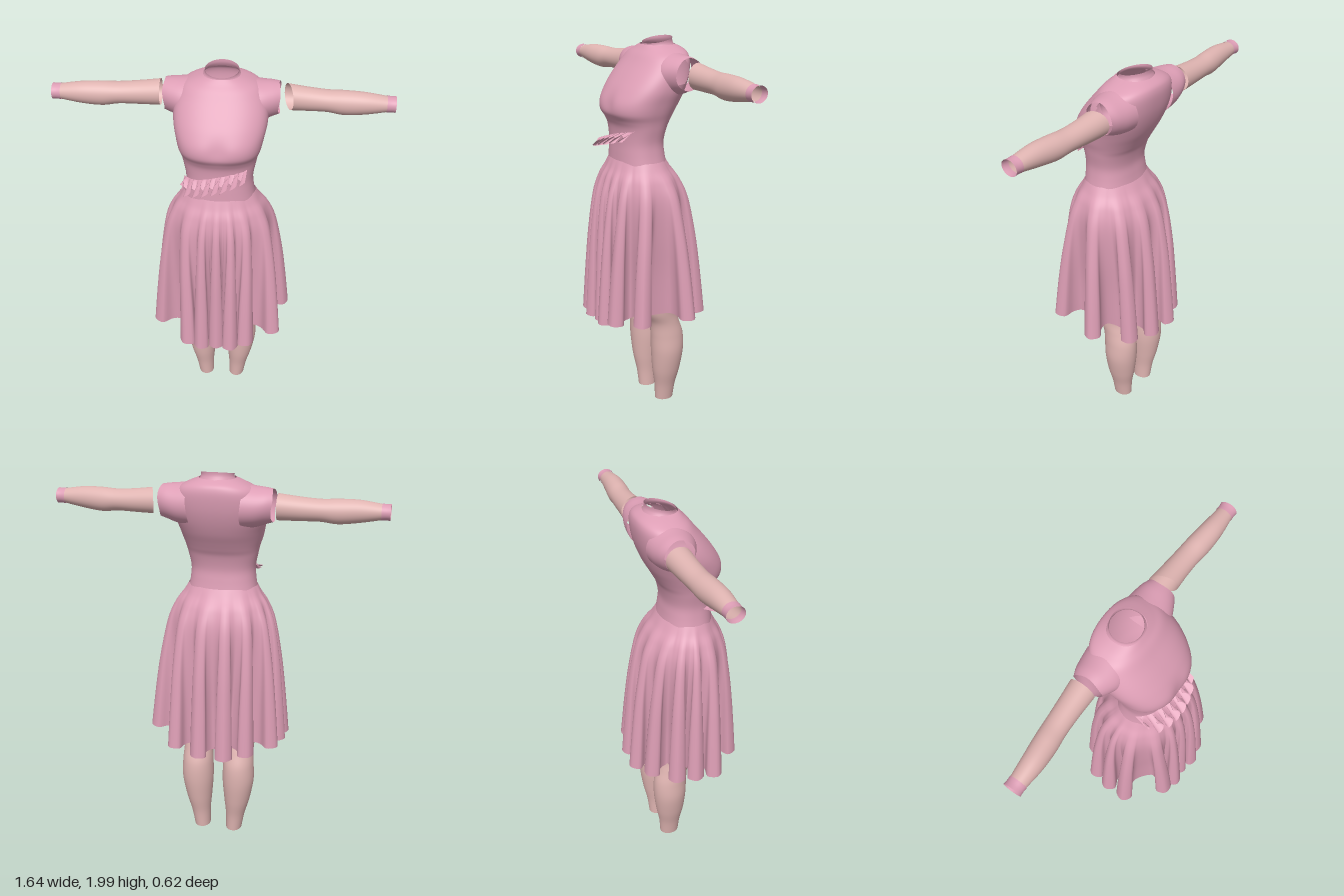
import * as THREE from 'three';

const pink = new THREE.MeshStandardMaterial({ color: 0xdd9eb5, side: THREE.DoubleSide });
pink.name = 'dressPink';
const skin = new THREE.MeshStandardMaterial({ color: 0xdfb4b1, side: THREE.DoubleSide });
skin.name = 'skin';

const V = (x, y, z) => new THREE.Vector3(x, y, z);

// Smooth surface through rows of points; keep(p) may leave holes.
function loft(name, material, rows, closed = true, keep = () => true) {
  const n = rows[0].length, pos = [], idx = [];
  rows.forEach(r => r.forEach(p => pos.push(p.x, p.y, p.z)));
  for (let i = 0; i < rows.length - 1; i++) {
    for (let j = 0; j < (closed ? n : n - 1); j++) {
      const k = (j + 1) % n;
      if (!keep(rows[i][j])) continue;
      const a = i * n + j, b = i * n + k, c = a + n, d = b + n;
      idx.push(a, c, b, b, c, d);
    }
  }
  const g = new THREE.BufferGeometry();
  g.setAttribute('position', new THREE.Float32BufferAttribute(pos, 3));
  g.setIndex(idx);
  g.computeVertexNormals();
  const m = new THREE.Mesh(g, material);
  m.name = name;
  return m;
}

// Catmull-Rom resampling of a table of section parameters.
function resample(table, count) {
  const out = [], last = table.length - 1;
  for (let s = 0; s <= count; s++) {
    const f = s / count * last, i = Math.min(Math.floor(f), last - 1), t = f - i;
    const p = q => table[Math.max(0, Math.min(last, q))];
    out.push(table[0].map((_, c) => {
      const [a, b, d, e] = [p(i - 1)[c], p(i)[c], p(i + 1)[c], p(i + 2)[c]];
      return b + 0.5 * t * (d - a + t * (2 * a - 5 * b + 4 * d - e + t * (3 * (b - d) + e - a)));
    }));
  }
  return out;
}

const ring = (n, fn) => Array.from({ length: n }, (_, j) => fn(j / n * Math.PI * 2));
const sup = (v, e) => Math.sign(v) * Math.abs(v) ** e;

function makeBodice() {
  // y, half width, front z, back z
  const table = [
    [1.38, 0.178, 0.155, -0.10], [1.44, 0.168, 0.152, -0.09], [1.50, 0.165, 0.15, -0.085],
    [1.57, 0.178, 0.155, -0.10], [1.61, 0.187, 0.172, -0.12], [1.65, 0.2, 0.197, -0.142],
    [1.70, 0.212, 0.194, -0.17], [1.76, 0.225, 0.16, -0.195], [1.82, 0.225, 0.115, -0.212],
    [1.88, 0.21, 0.065, -0.22], [1.92, 0.185, 0.033, -0.218], [1.945, 0.14, 0.008, -0.205],
    [1.965, 0.088, -0.01, -0.17]];
  const rows = resample(table, 72).map(([y, w, f, b]) => ring(96, a => {
    const x = w * sup(Math.cos(a), 0.85);
    let z = (f + b) / 2 + (f - b) / 2 * sup(Math.sin(a), 0.85);
    // shallow hollow between the breasts
    if (Math.sin(a) > 0) z -= 0.012 * Math.exp(-((x / 0.05) ** 2) - ((y - 1.69) / 0.05) ** 2);
    return V(x, y, z);
  }));
  // leave the arm holes open
  return loft('bodice', pink, rows, true,
    p => Math.abs(p.x) < 0.12 || Math.hypot(p.y - 1.845, p.z + 0.1) > 0.062);
}

function makeSleeve(s) {
  // x, centre y, half height, centre z, half depth
  const table = [[0.13, 1.835, 0.105, -0.095, 0.115], [0.19, 1.835, 0.097, -0.095, 0.108],
    [0.24, 1.842, 0.086, -0.1, 0.092], [0.275, 1.845, 0.078, -0.102, 0.075]];
  const rows = resample(table, 14).map(([x, cy, ry, cz, rz]) => ring(48, a =>
    V(s * (x + 0.004 * Math.sin(3 * a)), cy + ry * Math.sin(a), cz + rz * Math.cos(a))));
  return loft('capSleeve', pink, rows);
}

function makeArm(s) {
  const g = new THREE.Group();
  g.name = s > 0 ? 'leftArm' : 'rightArm';
  const slant = s > 0 ? 0.35 : 0;
  const tube = (name, mat, table, steps) => loft(name, mat,
    resample(table, steps).map(([x, cy, ry, cz, rz]) => ring(40, a => {
      const dz = rz * Math.cos(a), k = slant * Math.max(0, 1 - (x - 0.298) / 0.2);
      return V(s * (x + k * (dz + 0.06)), cy + ry * Math.sin(a), cz + dz);
    })));
  g.add(tube('armSkin', skin, [[0.298, 1.843, 0.063, -0.115, 0.064], [0.4, 1.838, 0.057, -0.112, 0.058],
    [0.5, 1.835, 0.053, -0.107, 0.055], [0.58, 1.832, 0.059, -0.1, 0.056],
    [0.68, 1.836, 0.053, -0.092, 0.051], [0.785, 1.838, 0.036, -0.09, 0.04]], 40));
  g.add(tube('cuff', pink, [[0.778, 1.838, 0.039, -0.09, 0.043], [0.8, 1.838, 0.037, -0.09, 0.042],
    [0.82, 1.838, 0.038, -0.09, 0.044]], 6));
  return g;
}

function makeLeg(s) {
  // y, centre x, half width, centre z, half depth
  const table = [[0.008, 0.09, 0.043, -0.093, 0.052], [0.1, 0.098, 0.052, -0.093, 0.06],
    [0.2, 0.107, 0.07, -0.094, 0.078], [0.32, 0.113, 0.085, -0.096, 0.09],
    [0.42, 0.113, 0.083, -0.092, 0.09], [0.5, 0.113, 0.078, -0.074, 0.081],
    [0.57, 0.113, 0.082, -0.045, 0.088], [0.66, 0.113, 0.09, -0.035, 0.1]];
  const rows = resample(table, 50).map(([y, cx, rx, cz, rz]) => ring(40, a =>
    V(s * (cx + rx * Math.cos(a)), y, cz + rz * Math.sin(a))));
  return loft(s > 0 ? 'leftLeg' : 'rightLeg', skin, rows);
}

function makeSkirt() {
  // tips of the hem folds: x, z, hem height
  const tips = [[0.375, -0.09, 0.6], [0.33, 0.19, 0.6], [0.175, 0.28, 0.57], [0.085, 0.305, 0.55],
    [0, 0.285, 0.54], [-0.09, 0.295, 0.54], [-0.175, 0.27, 0.55], [-0.355, 0.09, 0.56],
    [-0.355, -0.03, 0.57], [-0.33, -0.14, 0.57], [-0.2, -0.25, 0.55], [-0.08, -0.31, 0.54],
    [0.075, -0.305, 0.54], [0.23, -0.255, 0.56]];
  const n = tips.length, ang = tips.map(t => Math.atan2(t[1], t[0]));
  const unwrap = i => {
    const base = ang[(i + n) % n];
    let a = base;
    while (a < ang[0]) a += Math.PI * 2;
    return a + (i < 0 ? -1 : i >= n ? 1 : 0) * Math.PI * 2;
  };
  // keyhole-shaped fold: radial fraction, sideways fraction
  const fold = [[0, -0.75], [0.35, -0.5], [0.75, -1], [1, 0], [0.75, 1], [0.35, 0.5], [0, 0.75]];
  const hem = [], smooth = [];
  tips.forEach(([x, z, y], i) => {
    const r = Math.hypot(x, z), dx = x / r, dz = z / r, a = unwrap(i);
    const lo = (unwrap(i - 1) + a) / 2, hi = (unwrap(i + 1) + a) / 2;
    const w = Math.min(0.046, 0.24 * r * (hi - lo) + 0.02);
    fold.forEach(([u, v], k) => {
      const rad = r * (0.6 + 0.4 * u);
      hem.push(V(dx * rad - dz * v * w, y, dz * rad + dx * v * w));
      const t = (k + 0.5) / 7, b = lo + (hi - lo) * t;
      smooth.push(V(Math.cos(b), y, Math.sin(b)));
    });
  });
  const hemCurve = new THREE.CatmullRomCurve3(hem, true, 'catmullrom', 0.5);
  const dirCurve = new THREE.CatmullRomCurve3(smooth, true, 'catmullrom', 0.5);
  // drop fraction, flare, fold depth
  const table = [[0, 0, 0.03], [0.05, 0.14, 0.1], [0.12, 0.37, 0.19], [0.24, 0.59, 0.34],
    [0.47, 0.77, 0.62], [0.72, 0.89, 0.86], [1, 1, 1]];
  const rows = resample(table, 40).map(([drop, flare, depth]) =>
    Array.from({ length: n * 28 }, (_, j) => {
      const h = hemCurve.getPoint(j / (n * 28)), d = dirCurve.getPoint(j / (n * 28));
      const l = Math.hypot(d.x, d.z), c = d.x / l, s = d.z / l;
      const pleat = 1 - 0.25 * depth * (1 - flare) * (1 - Math.hypot(h.x, h.z) / 0.33);
      const ox = 0.35 * c + (h.x - 0.35 * c) * depth, oz = 0.305 * s + (h.z - 0.305 * s) * depth;
      const wx = 0.178 * c * pleat, wz = 0.028 + 0.13 * s * pleat;
      return V(wx + (ox - wx) * flare, 1.405 + (h.y - 1.405) * drop, wz + (oz - wz) * flare);
    }));
  return loft('pleatedSkirt', pink, rows.reverse());
}

function makeCollar() {
  const rows = [[0, 0.092], [0.35, 0.083], [0.7, 0.08], [1, 0.081]].map(([t, r]) => ring(48, a => {
    const s = Math.sin(a);
    return V(r * Math.cos(a), 1.955 - 0.008 * s + t * (0.03 - 0.007 * s), -0.09 + r * 0.9 * s);
  }));
  return loft('collar', pink, rows);
}

// Gathered frill running diagonally across the front waist
function makeRuffle() {
  const rows = [];
  for (let k = 0; k <= 6; k++) {
    const v = k / 6;
    rows.push(Array.from({ length: 121 }, (_, i) => {
      const t = i / 120, w = t * Math.PI * 14, x = -0.17 + 0.31 * t;
      const z = 0.033 + 0.118 * Math.sqrt(Math.max(0, 1 - (x / 0.176) ** 2));
      return V(x + 0.014 * v * Math.sin(w * 2 + 0.6) - 0.015 * v,
        1.49 + 0.085 * t - 0.035 * v + 0.02 * v * Math.sin(w),
        z + 0.065 * v + 0.024 * v * Math.cos(w + 0.5));
    }));
  }
  return loft('waistRuffle', pink, rows, false);
}

export function createModel() {
  const model = new THREE.Group();
  model.name = 'dressedFigure';
  model.add(makeBodice(), makeCollar(), makeSkirt(), makeRuffle());
  for (const s of [1, -1]) model.add(makeSleeve(s), makeArm(s), makeLeg(s));
  return model;
}
